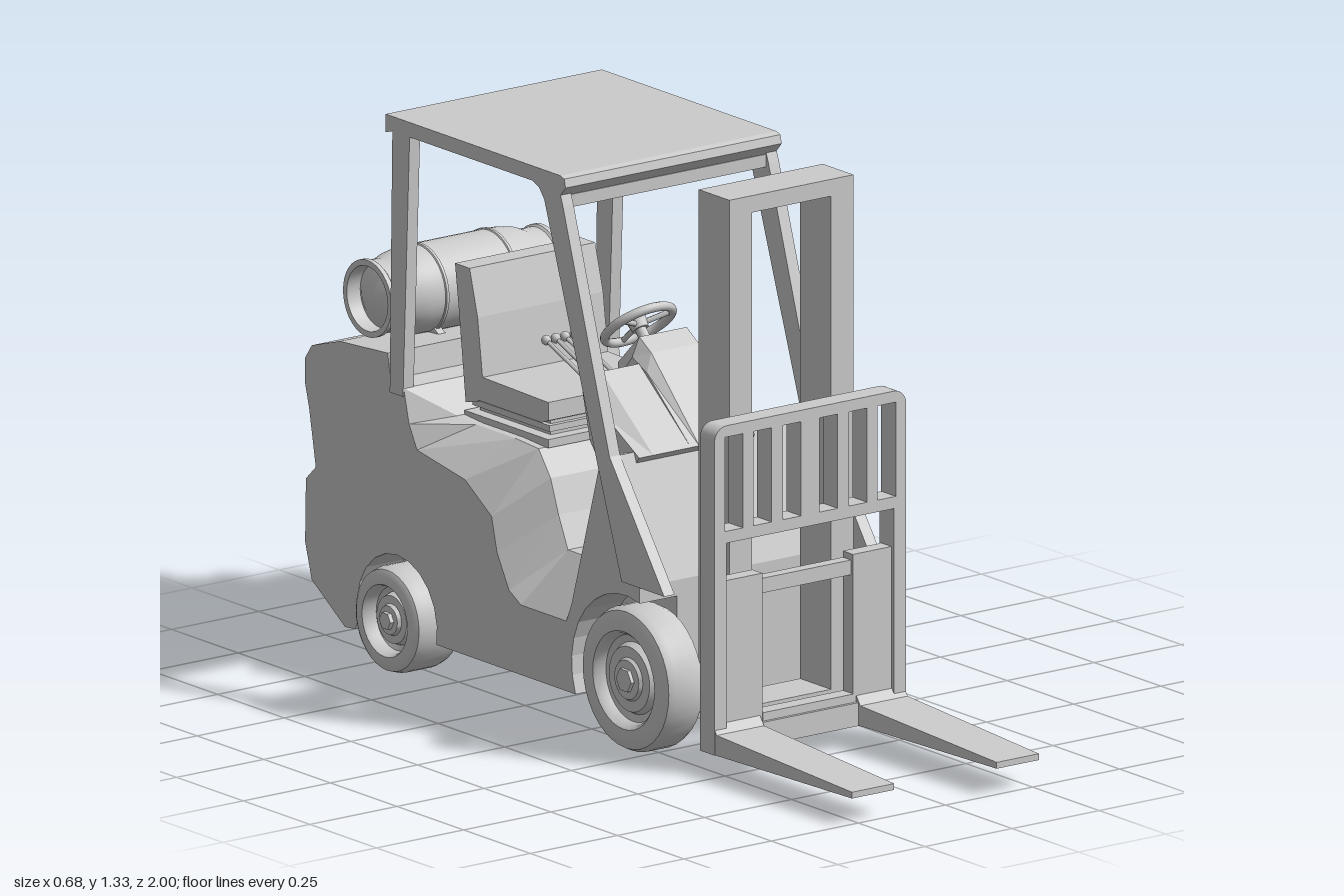
import * as THREE from 'three';
import { mergeGeometries, toCreasedNormals } from 'three/addons/utils/BufferGeometryUtils.js';

const grey = new THREE.MeshStandardMaterial({ color: 0xcccccc });

function add(parent, name, geo) {
  const mesh = new THREE.Mesh(geo, grey);
  mesh.name = name;
  parent.add(mesh);
  return mesh;
}

const box = (x0, x1, y0, y1, z0, z1) =>
  new THREE.BoxGeometry(x1 - x0, y1 - y0, z1 - z0).translate((x0 + x1) / 2, (y0 + y1) / 2, (z0 + z1) / 2);

// Joins side outlines [z, y] placed at rising x positions and caps both ends.
function loft(sections) {
  const flat = p => p.map(([z, y]) => new THREE.Vector2(-z, y));
  if (THREE.ShapeUtils.area(flat(sections[0][1])) < 0)
    sections = sections.map(([x, p]) => [x, [...p].reverse()]);
  const pos = [];
  const put = ([x, p], i) => pos.push(x, p[i % p.length][1], p[i % p.length][0]);
  for (let s = 0; s < sections.length - 1; s++) {
    const a = sections[s], b = sections[s + 1];
    for (let i = 0; i < a[1].length; i++) {
      put(a, i); put(a, i + 1); put(b, i + 1);
      put(a, i); put(b, i + 1); put(b, i);
    }
  }
  const first = sections[0], last = sections[sections.length - 1];
  for (const [a, b, c] of THREE.ShapeUtils.triangulateShape(flat(first[1]), [])) { put(first, c); put(first, b); put(first, a); }
  for (const [a, b, c] of THREE.ShapeUtils.triangulateShape(flat(last[1]), [])) { put(last, a); put(last, b); put(last, c); }
  const geo = new THREE.BufferGeometry();
  geo.setAttribute('position', new THREE.Float32BufferAttribute(pos, 3));
  geo.computeVertexNormals();
  return geo;
}
const slab = (pts, x0, x1) => loft([[x0, pts], [x1, pts]]);

const lathe = (pts, segs) => toCreasedNormals(
  new THREE.LatheGeometry(pts.map(([r, y]) => new THREE.Vector2(r, y)), segs), 0.6);

function arc(z, y, r, a0, a1, n) {
  return Array.from({ length: n + 1 }, (_, i) => {
    const a = a0 + (a1 - a0) * i / n;
    return [z + r * Math.cos(a), y + r * Math.sin(a)];
  });
}

function rod(a, b, r, segs = 10) {
  const A = new THREE.Vector3(...a), B = new THREE.Vector3(...b);
  return new THREE.TubeGeometry(new THREE.LineCurve3(A, B), 1, r, segs);
}

// Counter-clockwise rectangle
const rectPoints = (x0, x1, y0, y1) => [[x0, y0], [x1, y0], [x1, y1], [x0, y1]].map(p => new THREE.Vector2(...p));
const rectHole = (...r) => new THREE.Path(rectPoints(...r));

// Centre chassis plus side panels that flare down to the boarding steps
function buildBody(g) {
  const rear = [[-0.81, 0.07], [-0.85, 0.066], [-0.975, 0.15], [-1, 0.235], [-0.997, 0.385], [-0.96, 0.42],
    [-0.985, 0.555], [-1, 0.61], [-1, 0.67], [-0.975, 0.705], [-0.87, 0.738], [-0.69, 0.75], [-0.68, 0.69]];
  const inner = [[-0.63, 0.68], [-0.57, 0.61], [-0.5, 0.605], [-0.35, 0.605], [-0.265, 0.6], [-0.22, 0.54],
    [-0.19, 0.46], [-0.155, 0.385], [0, 0.385], [0.02, 0.44], [0.11, 0.68]];
  const outer = [[-0.63, 0.68], [-0.61, 0.6], [-0.58, 0.545], [-0.4, 0.515], [-0.3, 0.45], [-0.28, 0.37],
    [-0.235, 0.29], [-0.19, 0.265], [-0.02, 0.265], [0, 0.31], [0.11, 0.68]];
  const cowl = [[0.145, 0.69], [0.255, 0.405]];
  add(g, 'chassis', slab([[0.255, 0.1], [-0.8, 0.1], ...rear, ...inner, ...cowl], -0.2, 0.2));

  const rearArch = arc(-0.655, 0.13, 0.15, -0.2, Math.PI + 0.2, 12);
  const frontArch = arc(0.2, 0.175, 0.2, 1.29, 3.53, 10);
  const side = top => [...rearArch, ...rear, ...top, ...cowl, ...frontArch];
  add(g, 'leftSidePanel', loft([[0.2, side(inner)], [0.308, side(outer)]]));
  add(g, 'rightSidePanel', loft([[-0.308, side(outer)], [-0.2, side(inner)]]));
}

function buildWheel(g, name, s, z, r, x0, x1) {
  const w = x1 - x0;
  const profile = [[0, 0], [0.85, 0], [0.95, 0.06], [1, 0.22], [1, 0.78], [0.95, 0.94], [0.85, 1], [0.68, 1],
    [0.64, 0.93], [0.6, 0.75], [0.5, 0.7], [0.45, 0.85], [0.3, 0.85], [0.27, 0.92], [0, 0.92]];
  const tyre = lathe(profile.map(([a, b]) => [a * r, b * w]), 36);
  const nut = new THREE.CylinderGeometry(r * 0.17, r * 0.17, w * 0.12, 6).toNonIndexed().translate(0, w * 0.94, 0);
  nut.computeVertexNormals();
  const geo = mergeGeometries([tyre, nut]).rotateZ(-s * Math.PI / 2);
  add(g, name, geo).position.set(s * x0, r + 0.004, z);
}

// Overhead guard: roof, pillars and cross bar
function buildCab(g) {
  add(g, 'roof', slab([[-0.02, 1.29], [-0.025, 1.31], [-0.04, 1.315], [-0.695, 1.315],
    [-0.695, 1.272], [-0.67, 1.28], [-0.12, 1.28], [-0.1, 1.268], [-0.045, 1.262]], -0.31, 0.31));
  const front = [[0.35, 0.405], [0.145, 0.69], [-0.03, 1.245], [-0.045, 1.285], [-0.155, 1.285], [-0.12, 1.27],
    [-0.1, 1.245], [0.09, 0.69], [0.19, 0.405]];
  const back = [[-0.63, 0.66], [-0.605, 1.285], [-0.67, 1.285], [-0.68, 0.66]];
  for (const [side, x] of [['left', 0.28], ['right', -0.31]]) {
    add(g, side + 'FrontPillar', slab(front, x, x + 0.03));
    add(g, side + 'RearPillar', slab(back, x, x + 0.03));
  }
  add(g, 'crossBar', box(-0.28, 0.28, 1.235, 1.265, -0.095, -0.04));
}

function buildSeat(g) {
  add(g, 'seatPlatform', box(-0.18, 0.18, 0.6, 0.62, -0.57, -0.255));
  for (let i = 0; i < 3; i++) {
    const d = i % 2 * 0.012;
    add(g, 'seatBellows', box(-0.15 - d, 0.15 + d, 0.618 + i * 0.013, 0.633 + i * 0.013, -0.55 - d, -0.285 + d));
  }
  add(g, 'seatCushion', slab([[-0.255, 0.665], [-0.255, 0.708], [-0.52, 0.713], [-0.56, 0.655], [-0.28, 0.655]], -0.18, 0.18));
  add(g, 'seatBack', slab([[-0.5, 0.7], [-0.52, 0.85], [-0.55, 0.96], [-0.605, 0.96], [-0.59, 0.85], [-0.565, 0.64], [-0.52, 0.65]], -0.18, 0.18));
}

function buildControls(g) {
  const base = [[0.075, 0.565], [0.165, 0.68]];
  const ridge = [[-0.015, 0.86], [-0.06, 0.888], [-0.14, 0.81], ...base];
  const flank = [[0, 0.82], [-0.055, 0.845], [-0.11, 0.78], ...base];
  add(g, 'steeringColumn', loft([[-0.092, flank], [-0.068, ridge], [0.068, ridge], [0.092, flank]]));
  const low = [[0.04, 0.75], [-0.02, 0.68], ...base];
  const high = [[-0.03, 0.835], [-0.1, 0.77], ...base];
  add(g, 'leverConsole', loft([[-0.24, low], [-0.2, high], [-0.07, high]]));

  // Steering wheel, tilted toward the driver
  const wheel = new THREE.Group();
  wheel.name = 'steeringWheel';
  wheel.position.set(0, 0.885, -0.152);
  wheel.rotation.x = -2.29;
  add(wheel, 'rim', new THREE.TorusGeometry(0.084, 0.011, 10, 32));
  add(wheel, 'hub', new THREE.CylinderGeometry(0.024, 0.02, 0.025, 16).rotateX(Math.PI / 2));
  add(wheel, 'shaft', rod([0, 0, 0], [0, 0, -0.08], 0.014));
  for (let i = 0; i < 3; i++) {
    const a = Math.PI / 2 + i * Math.PI * 2 / 3;
    add(wheel, 'spoke', rod([0, 0, 0], [0.084 * Math.cos(a), 0.084 * Math.sin(a), 0], 0.007, 6));
  }
  g.add(wheel);

  for (const x of [-0.197, -0.17, -0.143, -0.116]) {
    add(g, 'lever', rod([x, 0.79, -0.06], [x, 0.86, -0.235], 0.005, 6));
    add(g, 'leverKnob', new THREE.SphereGeometry(0.012, 10, 8)).position.set(x, 0.862, -0.24);
  }
}

// Gas cylinder lying across the counterweight
function buildTank(g) {
  const half = [[0.103, 0.095], [0.106, 0.097], [0.106, 0.104], [0.103, 0.106], [0.102, 0.14], [0.096, 0.175],
    [0.086, 0.2], [0.086, 0.235], [0.091, 0.24], [0.091, 0.252], [0.077, 0.252], [0.075, 0.215], [0.05, 0.23], [0, 0.238]];
  const profile = [...half.map(([r, y]) => [r, -y]).reverse(), ...half];
  add(g, 'gasTank', lathe(profile, 36).rotateZ(-Math.PI / 2)).position.set(0, 0.836, -0.84);
  for (const x of [-0.1, 0.1])
    add(g, 'tankCradle', slab([[-0.75, 0.74], [-0.79, 0.765], [-0.89, 0.77], [-0.95, 0.735], [-0.94, 0.7]], x - 0.01, x + 0.01));
}

function buildLift(g) {
  // Mast frame
  const mast = new THREE.Shape(rectPoints(-0.178, 0.178, 0.1, 1.337));
  mast.holes.push(rectHole(-0.113, 0.113, 0.13, 1.297));
  add(g, 'mast', new THREE.ExtrudeGeometry(mast, { depth: 0.115, bevelEnabled: false }).translate(0, 0, 0.307));

  // Carriage with load guard: rounded top corners, six slots and an open lower bay
  const W = 0.275, T = 0.83, R = 0.035;
  const plate = new THREE.Shape();
  plate.moveTo(-W, 0.055).lineTo(W, 0.055).lineTo(W, T - R);
  plate.absarc(W - R, T - R, R, 0, Math.PI / 2);
  plate.absarc(R - W, T - R, R, Math.PI / 2, Math.PI);
  plate.closePath();
  for (const s of [-1, 1])
    for (const x of [0.0525, 0.137, 0.219])
      plate.holes.push(rectHole(s * x - 0.026, s * x + 0.026, 0.58, 0.803));
  plate.holes.push(rectHole(-0.24, 0.24, 0.11, 0.552));
  add(g, 'carriage', new THREE.ExtrudeGeometry(plate, { depth: 0.055, bevelEnabled: false, curveSegments: 8 }).translate(0, 0, 0.438));
  add(g, 'carriageCrossBar', box(-0.13, 0.13, 0.41, 0.445, 0.445, 0.475));
  add(g, 'carriageLowerBar', box(-0.13, 0.13, 0.1, 0.13, 0.445, 0.485));

  // Forks, narrowing slightly to the tip
  for (const s of [-1, 1]) {
    const name = s > 0 ? 'left' : 'right';
    add(g, name + 'ForkUpright', box(s > 0 ? 0.13 : -0.24, s > 0 ? 0.24 : -0.13, 0.1, 0.46, 0.445, 0.483));
    const fork = [[0.46, 0.055], [0.485, 0.125], [0.5, 0.104], [1, 0.08], [1, 0.065]];
    const geo = slab(fork, s > 0 ? 0.138 : -0.274, s > 0 ? 0.274 : -0.138);
    const p = geo.attributes.position;
    for (let i = 0; i < p.count; i++)
      if (p.getZ(i) > 0.9) p.setX(i, s * (Math.abs(p.getX(i)) < 0.2 ? 0.147 : 0.268));
    geo.computeVertexNormals();
    add(g, name + 'Fork', geo);
  }
}

export function createModel() {
  const g = new THREE.Group();
  g.name = 'forklift';
  buildBody(g);
  for (const s of [-1, 1]) {
    const side = s > 0 ? 'left' : 'right';
    buildWheel(g, side + 'FrontWheel', s, 0.2, 0.17, 0.202, 0.312);
    buildWheel(g, side + 'RearWheel', s, -0.657, 0.125, 0.21, 0.342);
  }
  buildCab(g);
  buildSeat(g);
  buildControls(g);
  buildTank(g);
  buildLift(g);
  return g;
}
